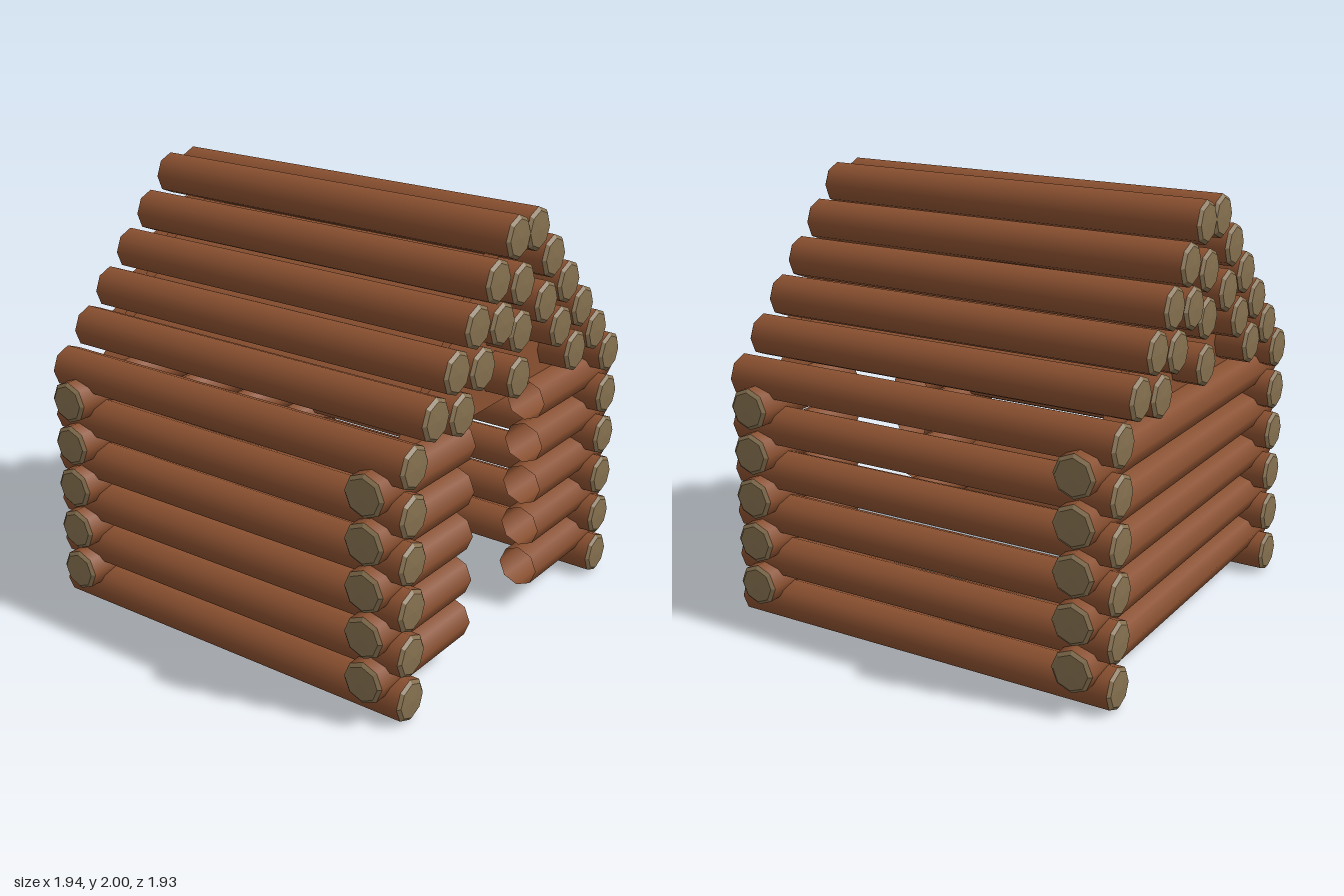
import * as THREE from 'three';

const R = 0.096, SIDES = 8, BEVEL = 0.018;
const bark = new THREE.MeshStandardMaterial({ color: 0x8a5030, side: THREE.DoubleSide });
const cutWood = new THREE.MeshStandardMaterial({ color: 0x85704f, flatShading: true });

// Octagonal log lying along z from z0 to z1; a cut end gets a bevelled, slightly domed cap
function makeLog(name, z0, z1, capStart = true, capEnd = true) {
  const log = new THREE.Group();
  log.name = name;
  const b0 = capStart ? z0 + BEVEL : z0;
  const b1 = capEnd ? z1 - BEVEL : z1;
  const tube = new THREE.CylinderGeometry(R, R, b1 - b0, SIDES, 1, true);
  tube.rotateX(Math.PI / 2).translate(0, 0, (b0 + b1) / 2);
  const body = new THREE.Mesh(tube, bark);
  body.name = 'bark';
  log.add(body);
  const profile = [[R, 0], [0.08, BEVEL * 0.7], [0, BEVEL]].map(([r, y]) => new THREE.Vector2(r, y));
  for (const [on, z, dir] of [[capStart, b0, -1], [capEnd, b1, 1]]) {
    if (!on) continue;
    const cap = new THREE.Mesh(new THREE.LatheGeometry(profile, SIDES), cutWood);
    cap.name = 'cutEnd';
    cap.rotation.x = dir * Math.PI / 2;
    cap.position.z = z;
    log.add(cap);
  }
  return log;
}

export function createModel() {
  const model = new THREE.Group();
  model.name = 'logCabin';
  const END = 0.965, WALL = 0.812;

  const addLengthwise = (name, x, y, end = END) => {
    const log = makeLog(name, -end, end);
    log.position.set(x, y, 0);
    model.add(log);
  };
  const addCrosswise = (name, y, z, x0, x1, c0, c1) => {
    const log = makeLog(name, x0, x1, c0, c1);
    log.rotation.y = Math.PI / 2;
    log.position.set(0, y, z);
    model.add(log);
  };

  // Side walls and the interlocking front and back walls
  for (let i = 0; i < 5; i++) {
    const y = 0.097 + i * 0.2105;
    for (const s of [-1, 1]) addLengthwise('sideWallLog', s * WALL, y);
    const yc = y + 0.105;
    addCrosswise('backWallLog', yc, -WALL, -0.972, 0.972);
    // Doorway: front logs stop short with open inner ends
    addCrosswise('frontWallLogRight', yc, WALL, -0.972, -0.287, true, false);
    addCrosswise('frontWallLogLeft', yc, WALL, 0.287, 0.972, false, true);
  }

  // Roof slopes, from the eaves to the ridge
  for (let i = 0; i < 6; i++) {
    for (const s of [-1, 1]) addLengthwise('roofLog', s * (WALL - i * 0.1465), 1.15 + i * 0.151);
  }

  // Purlins under each slope and along the middle
  for (let i = 0; i < 3; i++) {
    for (const s of [-1, 1]) addLengthwise('purlin', s * (0.47 - i * 0.145), 1.257 + i * 0.152);
    addLengthwise('centrePurlin', 0, 1.268 + i * 0.208, 0.95);
  }

  // Triangular gable panels above the front and back walls
  const tri = new THREE.Shape();
  tri.moveTo(-0.8, 1.115);
  tri.lineTo(0.8, 1.115);
  tri.lineTo(0.76, 1.17);
  tri.lineTo(0.06, 1.88);
  tri.lineTo(-0.06, 1.88);
  tri.lineTo(-0.76, 1.17);
  for (const s of [-1, 1]) {
    const gable = new THREE.Mesh(new THREE.ShapeGeometry(tri), bark);
    gable.name = s > 0 ? 'frontGable' : 'backGable';
    gable.position.z = s * WALL;
    if (s < 0) gable.rotation.y = Math.PI;
    model.add(gable);
  }
  return model;
}
